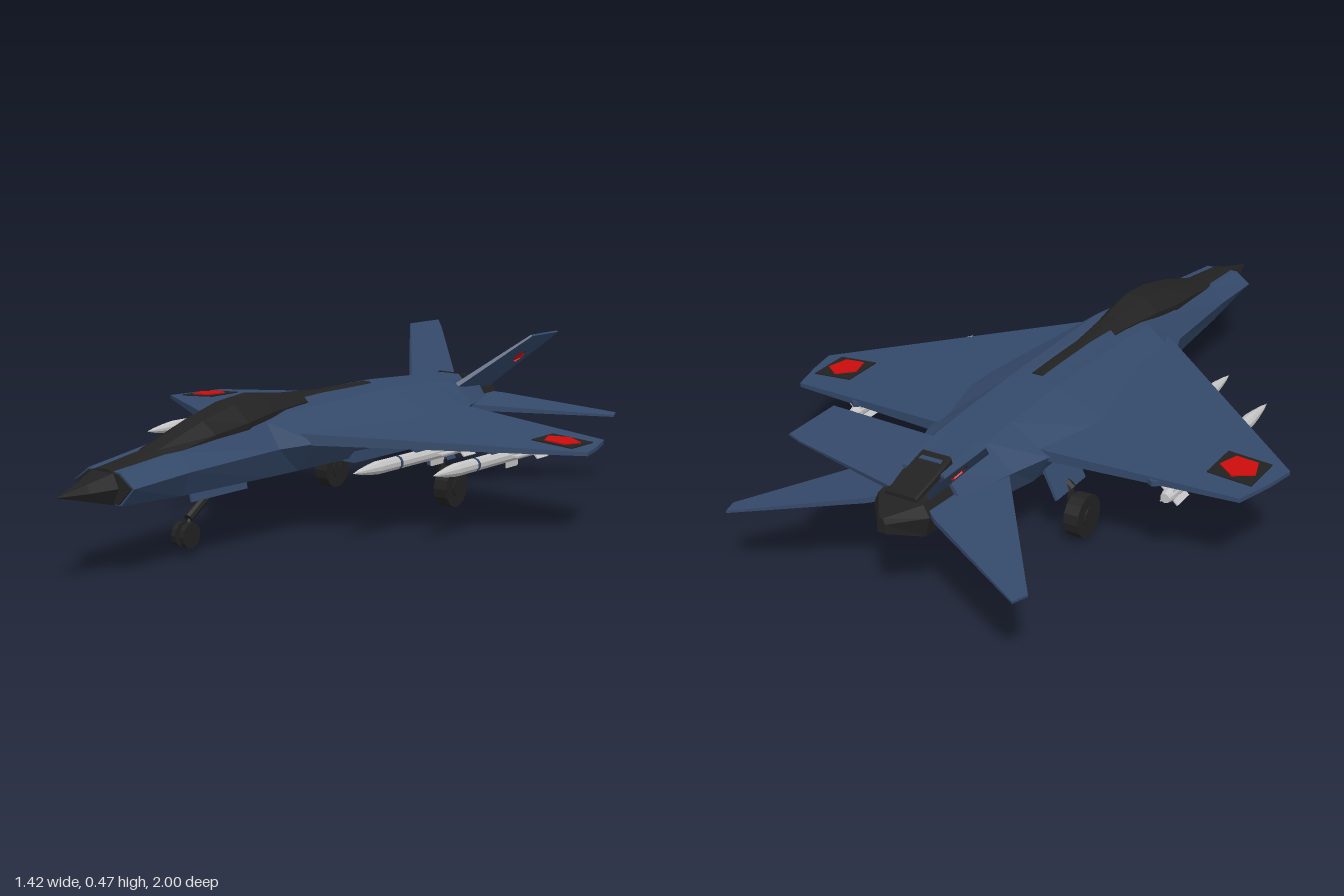
import * as THREE from 'three';

const mat = (name, color, flat = true) => {
  const m = new THREE.MeshStandardMaterial({ color, flatShading: flat });
  m.name = name;
  return m;
};
const V = (x, y, z) => new THREE.Vector3(x, y, z);

export function createModel() {
  const blue = mat('slate blue paint', 0x34496a);
  const dark = mat('black', 0x222222);
  const red = mat('red', 0xcc0c0c);
  const silver = mat('silver', 0xc6c6c6);

  const model = new THREE.Group();
  model.name = 'jetAircraft';
  const jet = new THREE.Group();
  jet.name = 'airframe';
  model.add(jet);

  const add = (name, geo, material, parent = jet) => {
    const mesh = new THREE.Mesh(geo, material);
    mesh.name = name;
    parent.add(mesh);
    return mesh;
  };

  // Skin over a row of rings; each ring runs counter-clockwise seen from the first end
  const loft = (name, rings, material) => {
    const pos = [];
    const tri = (...p) => p.forEach((q) => pos.push(q.x, q.y, q.z));
    const n = rings[0].length;
    for (let i = 0; i < rings.length - 1; i++) {
      for (let j = 0; j < n; j++) {
        const k = (j + 1) % n, A = rings[i], B = rings[i + 1];
        tri(A[j], B[j], A[k]);
        tri(A[k], B[j], B[k]);
      }
    }
    const first = rings[0], last = rings[rings.length - 1];
    for (let j = 1; j < n - 1; j++) {
      tri(first[0], first[j], first[j + 1]);
      tri(last[0], last[j + 1], last[j]);
    }
    const geo = new THREE.BufferGeometry();
    geo.setAttribute('position', new THREE.Float32BufferAttribute(pos, 3));
    geo.computeVertexNormals();
    return add(name, geo, material);
  };

  // Flat convex panel of points [x, y, z, thickness], mirrored when side = -1
  const panel = (name, pts, normal, side, material) => {
    const ring = (k) => {
      const r = pts.map(([x, y, z, t]) => {
        const p = V(x, y, z).addScaledVector(normal, (k * t) / 2);
        p.x *= side;
        return p;
      });
      return side < 0 ? r.reverse() : r;
    };
    return loft(name, [ring(1), ring(-1)], material);
  };

  // Six-sided section: roof half width and height, chine, belly
  const section = ([z, tw, ty, cw, cy, bw, by]) => [
    V(cw, cy, z), V(tw, ty, z), V(-tw, ty, z), V(-cw, cy, z), V(-bw, by, z), V(bw, by, z),
  ];

  const rod = (name, a, b, r, material, sides = 8) => {
    const m = add(name, new THREE.CylinderGeometry(r, r, a.distanceTo(b), sides), material);
    m.position.copy(a).add(b).multiplyScalar(0.5);
    m.quaternion.setFromUnitVectors(V(0, 1, 0), b.clone().sub(a).normalize());
    return m;
  };
  const box = (name, w, h, d, x, y, z, material, parent) => {
    const m = add(name, new THREE.BoxGeometry(w, h, d), material, parent);
    m.position.set(x, y, z);
    return m;
  };

  // Fuselage
  loft('fuselage', [
    [0.845, 0.05, 0.264, 0.094, 0.23, 0.055, 0.185],
    [0.65, 0.06, 0.285, 0.1, 0.242, 0.07, 0.18],
    [0.33, 0.08, 0.322, 0.122, 0.256, 0.09, 0.18],
    [0.22, 0.08, 0.338, 0.165, 0.262, 0.1, 0.182],
    [-0.25, 0.07, 0.346, 0.235, 0.268, 0.13, 0.19],
    [-0.47, 0.07, 0.34, 0.18, 0.27, 0.13, 0.19],
    [-0.58, 0.07, 0.334, 0.145, 0.27, 0.11, 0.196],
    [-0.74, 0.065, 0.318, 0.1, 0.265, 0.085, 0.205],
  ].map(section), blue);
  loft('intakeFace', [
    [0.85, 0.046, 0.26, 0.088, 0.23, 0.05, 0.188],
    [0.844, 0.046, 0.26, 0.088, 0.23, 0.05, 0.188],
  ].map(section), dark);
  loft('spine', [
    [0.1, 0.03, 0.355, 0.045, 0.34, 0.045, 0.32],
    [-0.3, 0.03, 0.356, 0.045, 0.34, 0.045, 0.32],
    [-0.72, 0.03, 0.336, 0.045, 0.32, 0.045, 0.3],
  ].map(section), blue);

  // Nose cone
  loft('noseCone', [
    [1, 0.001, 0.223, 0.002, 0.222, 0.001, 0.221],
    [0.92, 0.016, 0.242, 0.026, 0.222, 0.016, 0.202],
    [0.845, 0.034, 0.262, 0.052, 0.226, 0.034, 0.184],
  ].map(section), dark);

  // Canopy running back into the dark spine strip: z, half width, top, base
  loft('canopy', [
    [0.85, 0.046, 0.268, 0.25], [0.68, 0.052, 0.29, 0.27], [0.52, 0.068, 0.342, 0.295],
    [0.4, 0.078, 0.37, 0.305], [0.29, 0.07, 0.382, 0.32], [0.15, 0.045, 0.368, 0.33],
    [0, 0.028, 0.361, 0.34], [-0.235, 0.026, 0.36, 0.345],
  ].map(([z, w, t, b]) => section([z, w * 0.4, t, w, b + (t - b) * 0.35, w, b])), dark);

  // Exhaust nozzle with pointed roof
  loft('exhaustNozzle', [
    [-0.7, 0.06, 0.315, 0.088, 0.265, 0.075, 0.2],
    [-0.84, 0.065, 0.292, 0.08, 0.26, 0.065, 0.206],
    [-0.92, 0.006, 0.28, 0.012, 0.265, 0.012, 0.24],
  ].map(section), dark);
  loft('nozzleRoof', [
    [-0.69, 0.04, 0.341, 0.045, 0.335, 0.045, 0.3],
    [-0.84, 0.04, 0.302, 0.045, 0.298, 0.045, 0.28],
  ].map(section), dark);

  const up = V(0, 1, 0);
  const wingY = (x) => 0.281 - 0.055 * x;
  const wingT = (x) => 0.034 - 0.034 * x;
  const finOut = V(0.73, -0.68, 0);

  for (const s of [1, -1]) {
    // Main wing and the small fairing on its trailing edge
    panel('wing', [
      [0.08, 0.29], [0.155, 0.24], [0.712, -0.215], [0.695, -0.3], [0.665, -0.4], [0.17, -0.47], [0.08, -0.47],
    ].map(([x, z]) => [x, wingY(x), z, wingT(x)]), up, s, blue);
    panel('flapFairing', [[0.38, -0.4], [0.5, -0.4], [0.45, -0.442]]
      .map(([x, z]) => [x, wingY(x) - 0.003, z, 0.014]), up, s, blue);

    // Wing marking: dark square with a red pentagon
    const mark = (x, z, lift) => [x, wingY(x) + wingT(x) / 2 + lift, z, 0.004];
    panel('wingMarkingSquare', [[0.545, -0.215], [0.665, -0.215], [0.665, -0.335], [0.545, -0.335]]
      .map(([x, z]) => mark(x, z, 0.001)), up, s, dark);
    panel('wingMarkingPentagon', [0, 1, 2, 3, 4].map((i) => {
      const a = Math.PI / 2 + (i * Math.PI * 2) / 5;
      return mark(0.605 + 0.051 * Math.cos(a), -0.272 - 0.051 * Math.sin(a), 0.004);
    }), up, s, red);

    // Drooping tailplane
    panel('tailplane', [
      [0.06, 0.268, -0.56, 0.02], [0.14, 0.258, -0.59, 0.018], [0.422, 0.22, -0.955, 0.006],
      [0.408, 0.222, -0.998, 0.006], [0.1, 0.263, -0.85, 0.014], [0.06, 0.268, -0.82, 0.016],
    ], up, s, blue);

    // Canted fin with a small marking on its outer face
    const finPoint = (h, z, t) => [0.075 + 0.142 * h, 0.312 + 0.15 * h, z, t];
    panel('fin', [
      finPoint(-0.15, -0.58, 0.014), finPoint(0, -0.585, 0.014), finPoint(1, -0.795, 0.006),
      finPoint(1, -0.958, 0.006), finPoint(0.85, -0.945, 0.006), finPoint(-0.15, -0.81, 0.014),
    ].reverse(), finOut, s, blue);
    const finMark = (name, r, lift, n, m) => {
      const pts = Array.from({ length: n }, (_, i) => {
        const a = Math.PI / 4 + (i * Math.PI * 2) / n;
        const p = finPoint(0.55 + 5 * r * Math.sin(a), -0.825 - r * Math.cos(a), 0.004);
        p[0] += finOut.x * lift;
        p[1] += finOut.y * lift;
        return p;
      });
      return panel(name, pts.reverse(), finOut, s, m);
    };
    finMark('finMarkingSquare', 0.03, 0.005, 4, dark);
    finMark('finMarkingPentagon', 0.02, 0.008, 5, red);

    // Missiles under the wing
    for (const [x, tip] of [[0.308, 0.27], [0.475, 0.16]]) {
      const missile = new THREE.Group();
      missile.name = 'missile';
      missile.position.set(s * x, 0.209, tip);
      jet.add(missile);
      const profile = [[0, 0], [0.007, -0.03], [0.014, -0.075], [0.018, -0.11], [0.018, -0.56], [0.013, -0.58], [0, -0.58]]
        .map(([r, z]) => new THREE.Vector2(r, z)).reverse();
      add('missileBody', new THREE.LatheGeometry(profile, 10).rotateX(Math.PI / 2), silver, missile);
      const band = new THREE.CylinderGeometry(0.0187, 0.0187, 0.01, 10).rotateX(Math.PI / 2);
      add('missileBand', band, blue, missile).position.z = -0.2;
      for (let i = 0; i < 4; i++) {
        const a = (i * Math.PI) / 4;
        const fin = box('missileFins', 0.068, 0.004, 0.06, 0, 0, i % 2 ? -0.53 : -0.4, silver, missile);
        fin.rotation.z = a;
      }
      box('pylon', 0.014, 0.045, 0.2, s * x, 0.24, tip - 0.38, blue);
    }

    // Main landing gear
    const wheel = add('mainWheel', new THREE.CylinderGeometry(0.058, 0.058, 0.042, 14).rotateZ(Math.PI / 2), dark);
    wheel.position.set(s * 0.208, 0.064, -0.37);
    const hub = add('mainHub', new THREE.CylinderGeometry(0.026, 0.026, 0.05, 10).rotateZ(Math.PI / 2), dark);
    hub.position.copy(wheel.position);
    rod('mainStrut', V(s * 0.18, 0.07, -0.37), V(s * 0.175, 0.14, -0.37), 0.011, dark);
    rod('mainUpperStrut', V(s * 0.18, 0.13, -0.37), V(s * 0.09, 0.205, -0.37), 0.015, dark);
    rod('mainBrace', V(s * 0.18, 0.115, -0.37), V(s * 0.13, 0.2, -0.3), 0.008, dark);
    const door = box('mainGearDoor', 0.008, 0.09, 0.14, s * 0.158, 0.172, -0.37, blue);
    door.rotation.z = s * 0.42;
    box('bellyFairing', 0.04, 0.03, 0.42, s * 0.115, 0.192, -0.2, blue);

    // Nose gear wheels and doors
    const small = add('noseWheel', new THREE.CylinderGeometry(0.033, 0.033, 0.014, 12).rotateZ(Math.PI / 2), dark);
    small.position.set(s * 0.013, 0.056, 0.55);
    const flap = box('noseGearDoor', 0.005, 0.04, 0.22, s * 0.042, 0.17, 0.475, blue);
    flap.rotation.z = s * 0.25;
  }

  // Nose gear leg and gear bays
  rod('noseStrut', V(0, 0.06, 0.55), V(0, 0.1, 0.53), 0.007, dark);
  rod('noseLeg', V(0, 0.095, 0.54), V(0, 0.185, 0.4), 0.012, dark);
  box('noseGearBay', 0.07, 0.006, 0.21, 0, 0.179, 0.475, dark);
  box('mainGearBay', 0.22, 0.02, 0.14, 0, 0.187, -0.37, dark);

  // Slight bank and yaw of the parked aircraft
  jet.rotation.set(0, 0.0125, -0.025);
  jet.position.x = -0.003;
  return model;
}
